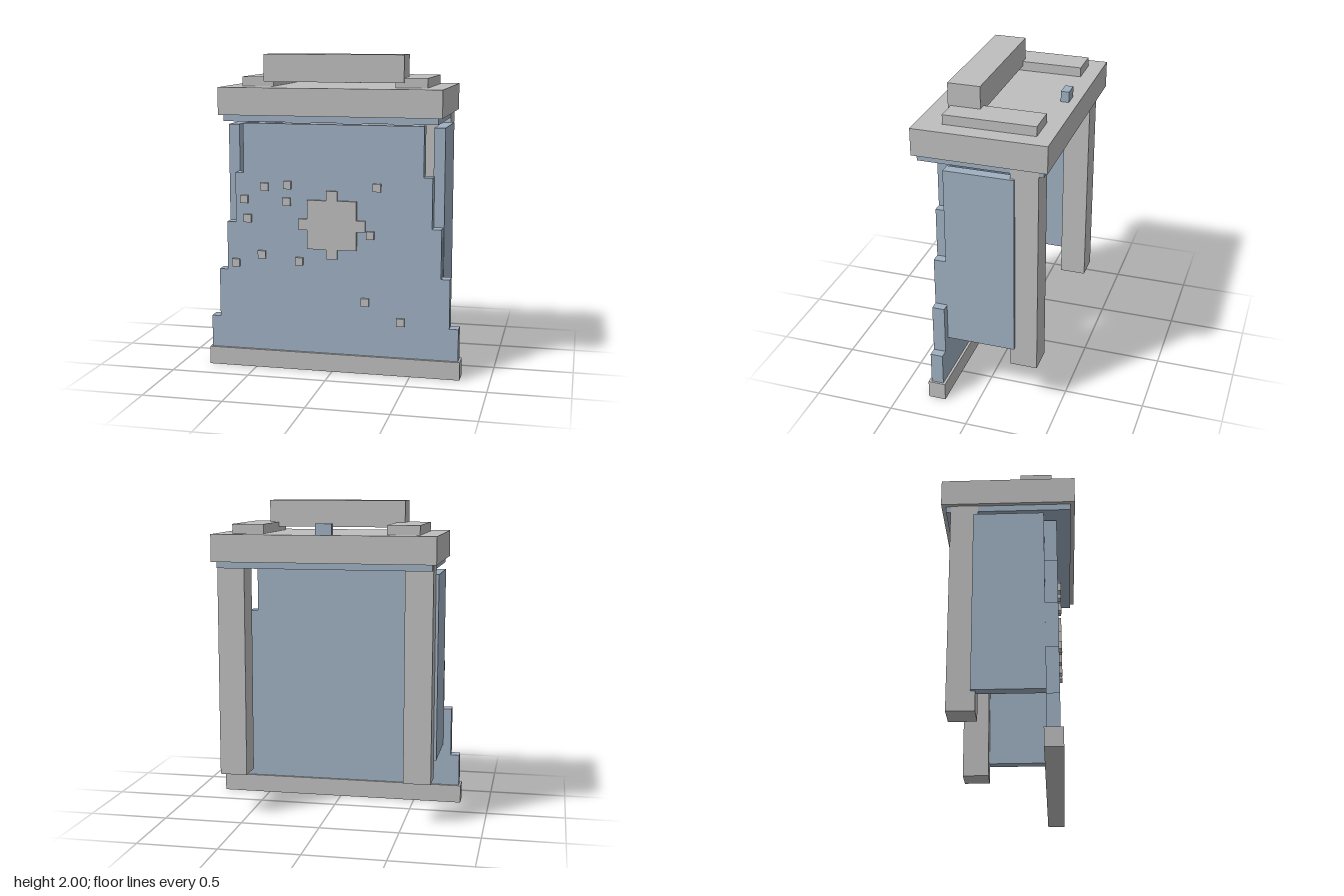
import * as THREE from 'three';

export function createModel() {
  const model = new THREE.Group();
  model.name = 'steppedKiosk';

  const stone = new THREE.MeshStandardMaterial({ color: 0xbfbebf });
  stone.name = 'lightGrey';
  const steel = new THREE.MeshStandardMaterial({ color: 0x9fb0c2 });
  steel.name = 'paleBlue';

  const add = (name, geometry, material) => {
    const mesh = new THREE.Mesh(geometry, material);
    mesh.name = name;
    model.add(mesh);
    return mesh;
  };

  // Box given by its lower and upper limits on each axis
  const box = (name, material, [x0, x1], [y0, y1], [z0, z1]) => {
    const mesh = add(name, new THREE.BoxGeometry(x1 - x0, y1 - y0, z1 - z0), material);
    mesh.position.set((x0 + x1) / 2, (y0 + y1) / 2, (z0 + z1) / 2);
  };

  // The same box on the left and the right
  const pair = (name, material, [x0, x1], y, z) => {
    box(name + 'Left', material, [x0, x1], y, z);
    box(name + 'Right', material, [-x1, -x0], y, z);
  };

  // Plate cut from a half outline (x >= 0, bottom to top) mirrored in x
  const plate = (name, material, half, z0, z1) => {
    const mirrored = half.map(([x, y]) => [-x, y]).reverse();
    const shape = new THREE.Shape([...half, ...mirrored].map(([x, y]) => new THREE.Vector2(x, y)));
    const geometry = new THREE.ExtrudeGeometry(shape, { depth: z1 - z0, bevelEnabled: false });
    add(name, geometry, material).position.z = z0;
  };

  // Foot and stepped front panel
  box('frontFoot', stone, [-0.813, 0.813], [0, 0.115], [0.205, 0.315]);
  const levels = [0.115, 0.32, 0.632, 0.942, 1.26, 1.573];
  const widths = [0.8, 0.743, 0.687, 0.628, 0.573];
  const steps = widths.flatMap((w, i) => [[w, levels[i]], [w, levels[i + 1]]]);
  plate('frontPanel', steel, steps, 0.22, 0.298);

  // Central emblem: a square with a short tab on each side
  const emblem = [
    [0.035, 0.73], [0.035, 0.79], [0.157, 0.79], [0.157, 0.91], [0.213, 0.91],
    [0.213, 0.98], [0.157, 0.98], [0.157, 1.1], [0.035, 1.1], [0.035, 1.16],
  ];
  plate('emblem', stone, emblem, 0.29, 0.316);

  // Scattered studs
  const studs = [
    [-0.435, 1.175], [-0.287, 1.19], [-0.57, 1.092], [-0.292, 1.085], [-0.548, 0.97], [-0.457, 0.74],
    [-0.63, 0.68], [-0.213, 0.706], [0.285, 1.19], [0.243, 0.89], [0.212, 0.463], [0.438, 0.346],
  ];
  const s = 0.025;
  studs.forEach(([x, y], i) =>
    box('stud' + (i + 1), stone, [x - s, x + s], [y - s, y + s], [0.29, 0.316]));

  // Side panels and rear pillars
  pair('sidePanel', steel, [0.622, 0.692], [0.392, 1.558], [-0.213, 0.22]);
  pair('rearPillar', stone, [0.502, 0.674], [0.27, 1.63], [-0.355, -0.185]);

  // Roof trim and slab
  box('roofTrim', steel, [-0.67, 0.67], [1.59, 1.63], [-0.384, 0.386]);
  box('roofSlab', stone, [-0.697, 0.697], [1.63, 1.8], [-0.413, 0.413]);

  // Rails, cross bar and rear button on the roof
  pair('roofRail', stone, [0.385, 0.585], [1.8, 1.86], [-0.315, 0.255]);
  box('roofBar', stone, [-0.442, 0.442], [1.83, 2], [0.07, 0.272]);
  box('rearButton', steel, [-0.05, 0.05], [1.8, 1.867], [-0.356, -0.305]);

  return model;
}
